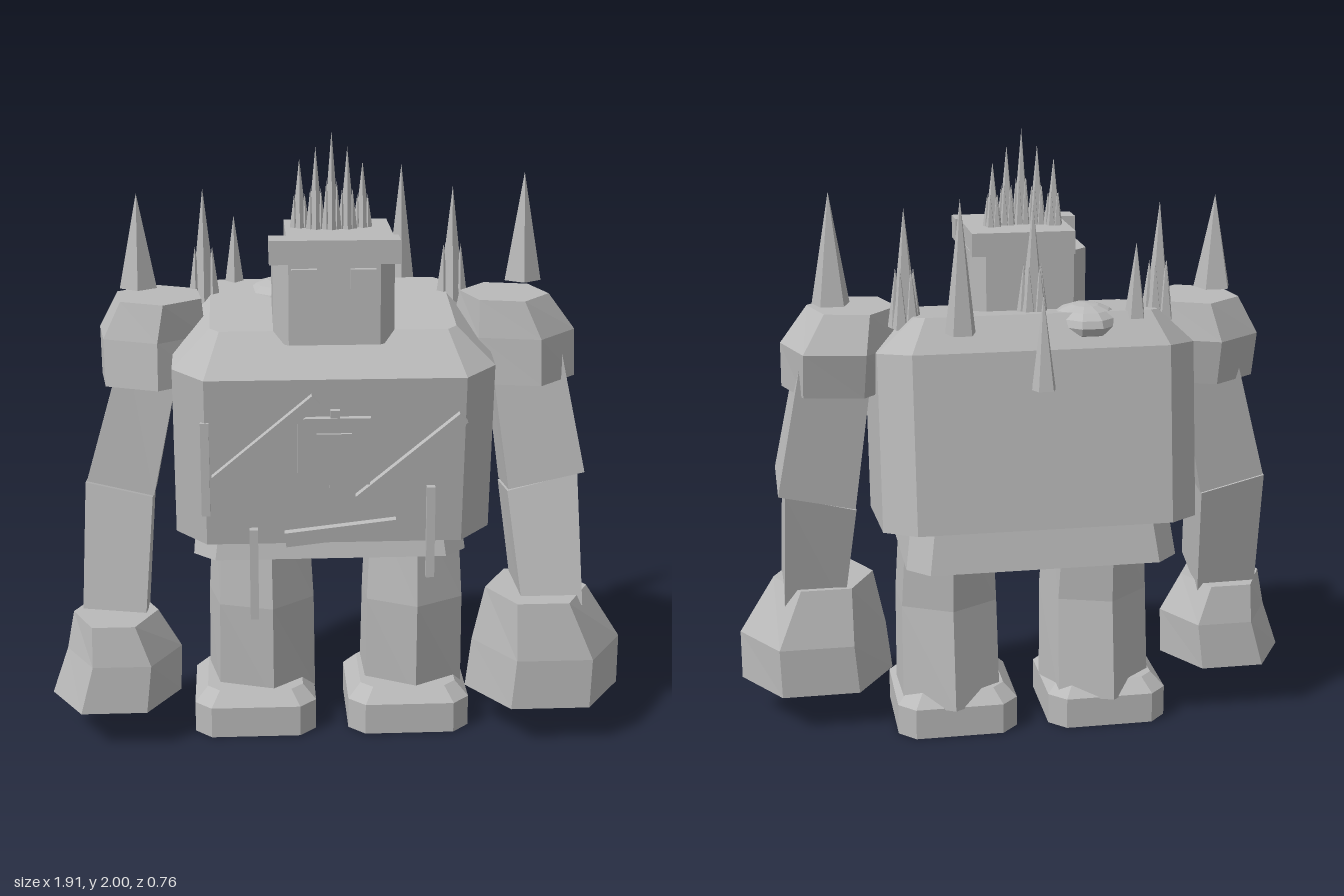
import * as THREE from 'three';

const stone = new THREE.MeshStandardMaterial({ color: 0xbababa, side: THREE.DoubleSide });
stone.name = 'stone grey';

// Faceted mesh: every face gets its own normal
function add(parent, name, geo) {
  const g = geo.index ? geo.toNonIndexed() : geo;
  g.computeVertexNormals();
  const mesh = new THREE.Mesh(g, stone);
  mesh.name = name;
  parent.add(mesh);
  return mesh;
}

// Skin a list of rings (each a list of [x, y, z]) from bottom to top; the bottom may stay open
function loft(rings, openBottom = false) {
  const pos = [], n = rings[0].length;
  const tri = (a, b, c) => pos.push(...a, ...b, ...c);
  const bottom = rings[0], top = rings[rings.length - 1];
  for (let i = 0; i < rings.length - 1; i++) {
    for (let j = 0; j < n; j++) {
      const k = (j + 1) % n, lo = rings[i], hi = rings[i + 1];
      tri(lo[j], hi[j], hi[k]);
      tri(lo[j], hi[k], lo[k]);
    }
  }
  for (let j = 1; j < n - 1; j++) {
    if (!openBottom) tri(bottom[0], bottom[j], bottom[j + 1]);
    tri(top[0], top[j + 1], top[j]);
  }
  const g = new THREE.BufferGeometry();
  g.setAttribute('position', new THREE.Float32BufferAttribute(pos, 3));
  return g;
}

// Hexagonal ring
function hex(x, y, z, rx, rz = rx, turn = 0) {
  return Array.from({ length: 6 }, (_, i) => {
    const a = turn + i * Math.PI / 3;
    return [x + rx * Math.cos(a), y, z + rz * Math.sin(a)];
  });
}

// Rectangle ring with cut corners
function oct(x, y, z, hx, hz, c) {
  const a = hx - c, b = hz - c;
  return [[hx, -b], [hx, b], [a, hz], [-a, hz], [-hx, b], [-hx, -b], [-a, -hz], [a, -hz]]
    .map(([px, pz]) => [x + px, y, z + pz]);
}

// Rectangle ring, sloped along x and z
function quad(x, y, z, hx, hz, slopeX, slopeZ) {
  return [[hx, -hz], [hx, hz], [-hx, hz], [-hx, -hz]]
    .map(([px, pz]) => [x + px, y + px * slopeX + pz * slopeZ, z + pz]);
}

function box(parent, name, x, y, z, w, h, d) {
  const m = add(parent, name, new THREE.BoxGeometry(w, h, d));
  m.position.set(x, y, z);
  return m;
}

function spike(parent, name, x, y, z, r, h) {
  const m = add(parent, name, new THREE.ConeGeometry(r, h, 5).translate(0, h / 2, 0));
  m.position.set(x, y, z);
  return m;
}

// Tall spike ringed by shorter ones
function tuft(parent, name, x, y, z, r, h) {
  const g = new THREE.Group();
  g.name = name;
  g.position.set(x, y, z);
  parent.add(g);
  spike(g, 'tallSpike', 0, 0, 0, r * 0.75, h);
  for (let i = 0; i < 5; i++) {
    const a = i * Math.PI * 0.4 + 0.3;
    spike(g, 'shortSpike', r * 0.5 * Math.cos(a), 0, r * 0.5 * Math.sin(a), r * 0.45, h * 0.5);
  }
}

export function createModel() {
  const model = new THREE.Group();
  model.name = 'stoneGolem';

  // Forward-leaning torso with bevelled edges
  const torso = add(model, 'torso', loft([
    oct(0, 0, 0, 0.51, 0.335, 0.1),
    oct(0, 0.57, 0, 0.51, 0.335, 0.1),
    oct(0, 0.68, -0.04, 0.39, 0.24, 0.03),
  ], true));
  torso.position.set(-0.02, 0.75, -0.03);
  torso.rotation.x = 0.14;
  add(model, 'hips', loft([
    oct(-0.03, 0.64, -0.01, 0.445, 0.29, 0.07),
    oct(-0.03, 0.82, -0.01, 0.42, 0.25, 0.07),
  ], true));
  const boulder = add(model, 'backBoulder', new THREE.SphereGeometry(1, 10, 8));
  boulder.scale.set(0.11, 0.06, 0.13);
  boulder.position.set(-0.18, 1.42, -0.15);

  // Planks and plates on the chest
  const chestZ = (y) => 0.381 - (1.267 - y) * 0.14;
  const planks = [
    [-0.24, 1.07, 0.42, 0.04, 0.72], [0.22, 1.0, 0.43, 0.04, 0.72], [0, 0.745, 0.36, 0.05, 0.12],
  ];
  for (const [x, y, w, h, angle] of planks) {
    const p = box(model, 'chestPlank', x, y, chestZ(y) + 0.005, w, h, 0.035);
    p.rotation.set(0.14, 0, angle);
  }
  for (const [x, y, z] of [[-0.28, 0.62, 0.355], [0.285, 0.75, 0.345], [-0.43, 0.975, 0.355]]) {
    box(model, 'hangingStrip', x, y, z, 0.027, 0.305, 0.025);
  }
  const plates = [
    [-0.025, 1.03, 0.23, 0.23, 0.035], [-0.025, 1.035, 0.11, 0.12, 0.05],
    [-0.022, 1.12, 0.03, 0.1, 0.03], [-0.022, 0.95, 0.03, 0.1, 0.05],
  ];
  for (const [x, y, w, h, d] of plates) {
    box(model, 'chestPlate', x, y, chestZ(y), w, h, d).rotation.x = 0.14;
  }

  // Head, brow and eyes
  add(model, 'head', loft([
    oct(-0.02, 1.36, 0.13, 0.19, 0.18, 0.047),
    oct(-0.02, 1.63, 0.13, 0.19, 0.18, 0.047),
  ]));
  box(model, 'skullCap', 0, 1.655, 0.13, 0.335, 0.075, 0.36);
  box(model, 'brow', -0.02, 1.655, 0.28, 0.405, 0.075, 0.09);
  for (const x of [-0.115, 0.068]) box(model, 'eye', x, 1.57, 0.315, 0.08, 0.065, 0.03);

  // Crown of spikes in a shallow arc
  const crownHeights = [0.22, 0.26, 0.31, 0.26, 0.21];
  crownHeights.forEach((h, i) => {
    const t = (i - 2) / 2;
    tuft(model, 'crownTuft', -0.02 + t * 0.1, 1.69, 0.12 - 0.035 * t * t, 0.035, h);
  });

  // Spikes on the shoulders and back
  for (const x of [-0.43, 0.39, -0.02]) tuft(model, 'shoulderTuft', x, 1.41, -0.1, 0.06, 0.38);
  const spikes = [
    [-0.64, 1.485, 0, 0.063, 0.305], [0.62, 1.485, -0.06, 0.063, 0.355],
    [-0.33, 1.44, -0.21, 0.035, 0.24], [0.235, 1.42, -0.265, 0.05, 0.42],
  ];
  for (const [x, y, z, r, h] of spikes) spike(model, 'backSpike', x, y, z, r, h);
  spike(model, 'rearSpike', -0.02, 1.24, -0.31, 0.04, 0.3).rotation.x = 0.08;

  // Left arm
  add(model, 'leftShoulder', loft([
    hex(0.59, 1.19, 0.04, 0.195, 0.18, 0.2),
    hex(0.585, 1.34, 0.01, 0.2, 0.2, 0.2),
    hex(0.55, 1.46, 0.02, 0.145, 0.16, 0.2),
  ], true));
  add(model, 'leftUpperArm', loft([
    quad(0.685, 0.84, 0.06, 0.125, 0.115, 0.22, 0.15), quad(0.605, 1.33, 0.01, 0.115, 0.1, 0, 0)]));
  add(model, 'leftForearm', loft([
    quad(0.7, 0.43, 0.17, 0.1, 0.11, 0, 0.25), quad(0.672, 0.835, 0.06, 0.115, 0.11, 0.25, 0.15)]));
  add(model, 'leftFist', loft([
    hex(0.69, 0.13, 0.17, 0.26, 0.23), hex(0.7, 0.3, 0.17, 0.25, 0.23), hex(0.66, 0.49, 0.18, 0.17, 0.185),
  ], true));

  // Right arm
  add(model, 'rightShoulder', loft([
    hex(-0.6, 1.19, 0.03, 0.185, 0.18, 0.4),
    hex(-0.6, 1.34, 0, 0.19, 0.19, 0.4),
    hex(-0.575, 1.46, 0.01, 0.15, 0.16, 0.4),
  ], true));
  add(model, 'rightUpperArm', loft([
    quad(-0.71, 0.835, 0.05, 0.108, 0.115, -0.25, 0.15), quad(-0.59, 1.33, 0, 0.095, 0.1, 0, 0)]));
  add(model, 'rightForearm', loft([
    quad(-0.735, 0.435, 0.16, 0.102, 0.11, -0.1, 0.3), quad(-0.715, 0.83, 0.05, 0.108, 0.11, -0.25, 0.15)]));
  add(model, 'rightFist', loft([
    hex(-0.745, 0.13, 0.15, 0.215, 0.21), hex(-0.715, 0.29, 0.15, 0.19, 0.2), hex(-0.74, 0.42, 0.15, 0.14, 0.17),
  ], true));

  // Legs standing in octagonal feet that are hollow underneath
  for (const [side, x, footX, turn] of [['left', 0.255, 0.235, 0.5], ['right', -0.255, -0.28, 0.33]]) {
    add(model, side + 'Leg', loft([
      hex(x, 0.1, 0.02, 0.19, 0.19, turn),
      hex(x, 0.44, 0.05, 0.185, 0.175, turn),
      hex(x, 0.78, 0.02, 0.165, 0.17, turn),
    ]));
    add(model, side + 'Foot', loft([
      oct(footX, 0, 0.055, 0.203, 0.205, 0.055),
      oct(footX, 0.105, 0.055, 0.203, 0.205, 0.055),
      oct(footX, 0.15, 0.055, 0.16, 0.16, 0.04),
    ], true));
  }
  return model;
}
